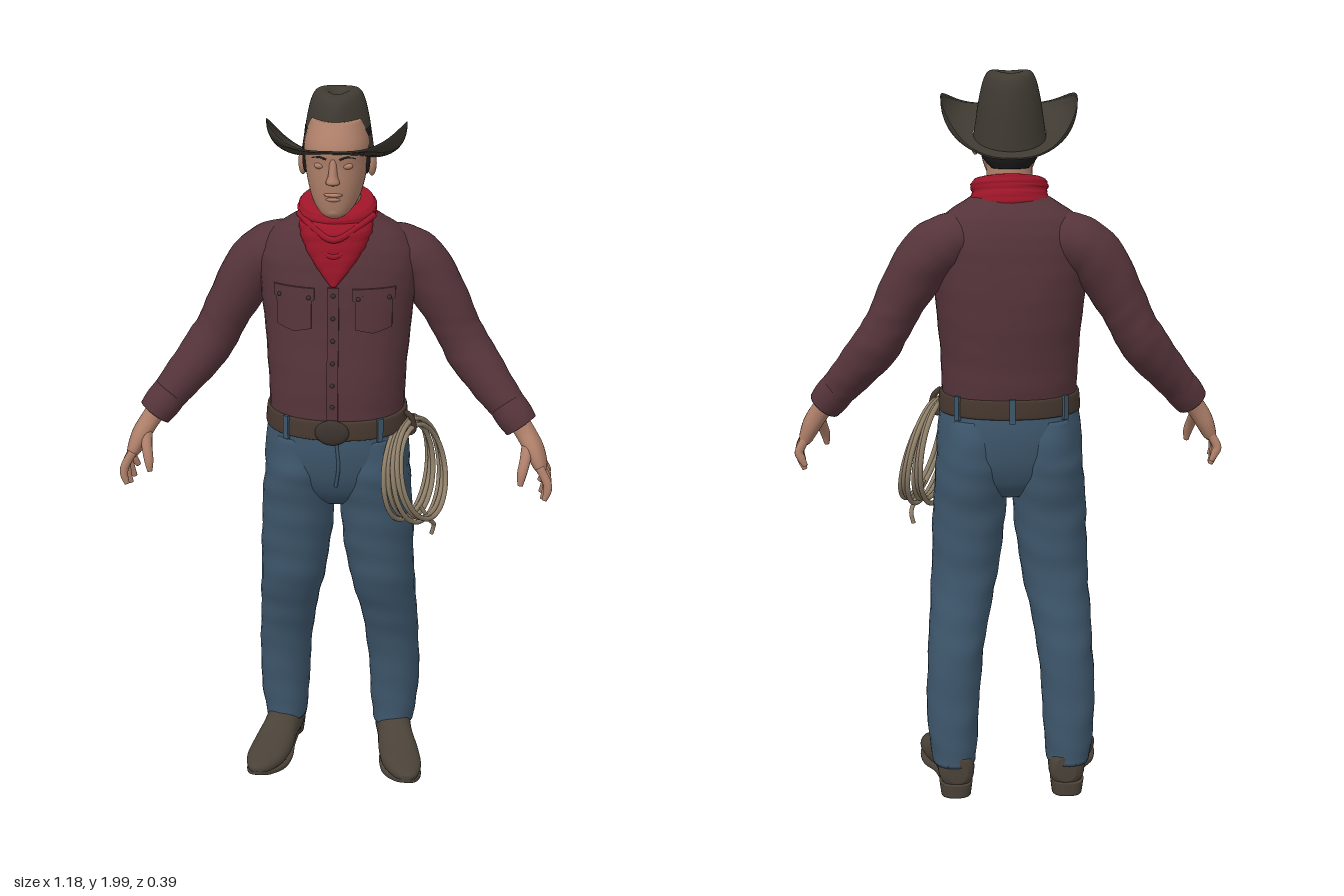
import * as THREE from 'three';

const mat = (name, color, side = THREE.FrontSide) => {
  const m = new THREE.MeshStandardMaterial({ color, side });
  m.name = name;
  return m;
};
const X = new THREE.Vector3(1, 0, 0), Y = new THREE.Vector3(0, 1, 0), Z = new THREE.Vector3(0, 0, 1);

// Smooth surface wrapped around u (nu columns), rising along v (nv rows), ends closed by fans
function grid(nu, nv, fn, caps = true) {
  const pos = [], idx = [];
  for (let i = 0; i <= nv; i++)
    for (let j = 0; j < nu; j++) pos.push(...fn((j / nu) * Math.PI * 2, i / nv));
  for (let i = 0; i < nv; i++)
    for (let j = 0; j < nu; j++) {
      const k = (j + 1) % nu, a = i * nu + j, b = i * nu + k;
      idx.push(a, b, b + nu, a, b + nu, a + nu);
    }
  if (caps) for (const row of [0, nv]) {
    const c = [0, 0, 0], n = pos.length / 3;
    for (let j = 0; j < nu; j++) for (let q = 0; q < 3; q++) c[q] += pos[(row * nu + j) * 3 + q] / nu;
    pos.push(...c);
    for (let j = 0; j < nu; j++) {
      const a = row * nu + j, b = row * nu + ((j + 1) % nu);
      idx.push(n, ...(row ? [a, b] : [b, a]));
    }
  }
  const g = new THREE.BufferGeometry();
  g.setAttribute('position', new THREE.Float32BufferAttribute(pos, 3));
  g.setIndex(idx);
  g.computeVertexNormals();
  return g;
}

// Catmull-Rom blend of section rows
function sample(rows, t) {
  const f = t * (rows.length - 1), i = Math.min(Math.floor(f), rows.length - 2), s = f - i;
  const at = (k) => rows[Math.max(0, Math.min(rows.length - 1, k))];
  return rows[0].map((_, q) => {
    const [a, b, c, d] = [at(i - 1)[q], at(i)[q], at(i + 1)[q], at(i + 2)[q]];
    return b + 0.5 * s * (c - a + s * (2 * a - 5 * b + 4 * c - d + s * (3 * (b - c) + d - a)));
  });
}

// Loft through rows of [x, y, z, radiusU, radiusV]; the axis is fixed or follows the path
function loft(rows, { axis = null, ref = X, seg = 28, p = 2, fold = 0 } = {}) {
  const pw = (c) => Math.sign(c) * Math.abs(c) ** (2 / p);
  return grid(seg, (rows.length - 1) * 6, (a, t) => {
    const r = sample(rows, t), c = new THREE.Vector3(r[0], r[1], r[2]);
    let w = axis;
    if (!w) {
      const e = sample(rows, Math.min(1, t + 0.02)), b = sample(rows, Math.max(0, t - 0.02));
      w = new THREE.Vector3(e[0] - b[0], e[1] - b[1], e[2] - b[2]).normalize();
    }
    const u = ref.clone().addScaledVector(w, -ref.dot(w)).normalize();
    const v = new THREE.Vector3().crossVectors(w, u);
    const k = 1 + fold * Math.sin(t * 55 + Math.sin(a) * 3) * Math.sin(t * 17 + a);
    return c.addScaledVector(u, r[3] * k * pw(Math.cos(a))).addScaledVector(v, r[4] * k * pw(Math.sin(a))).toArray();
  });
}

const tube = (pts, r, closed = false, n = 40) =>
  new THREE.TubeGeometry(new THREE.CatmullRomCurve3(pts.map((q) => new THREE.Vector3(...q)), closed), n, r, 8, closed);

export function createModel() {
  const model = new THREE.Group();
  model.name = 'cowhand';
  const shirt = mat('shirt', 0x55343a), jeans = mat('jeans', 0x3d566b), felt = mat('felt', 0x3f3a32),
    red = mat('bandanna', 0x9c1528), skin = mat('skin', 0xae7f69), rope = mat('rope', 0x8e7f69),
    leather = mat('beltLeather', 0x46382f), boot = mat('bootLeather', 0x4a4238), hair = mat('hair', 0x1d1b1c),
    metal = mat('darkMetal', 0x3c332e);
  const add = (name, geo, m, parent = model) => {
    const mesh = new THREE.Mesh(geo, m);
    mesh.name = name;
    parent.add(mesh);
    return mesh;
  };
  const ball = (name, m, x, y, z, sx, sy, sz) => {
    const b = add(name, new THREE.SphereGeometry(1, 16, 12), m);
    b.position.set(x, y, z);
    b.scale.set(sx, sy, sz);
    return b;
  };

  // Shirt body
  const torso = [[0, 1.08, -0.015, 0.183, 0.142], [0, 1.15, -0.02, 0.184, 0.148], [0, 1.25, -0.026, 0.188, 0.15],
    [0, 1.37, -0.04, 0.198, 0.147], [0, 1.47, -0.045, 0.208, 0.141], [0, 1.55, -0.048, 0.208, 0.13],
    [0, 1.61, -0.05, 0.18, 0.112], [0, 1.65, -0.045, 0.125, 0.09], [0, 1.68, -0.04, 0.075, 0.07]];
  add('shirtBody', loft(torso, { axis: Y, p: 2.25, seg: 40, fold: 0.006 }), shirt);
  const chestZ = (x, y) => {
    let lo = 0, hi = 1;
    for (let i = 0; i < 20; i++) { const m = (lo + hi) / 2; if (sample(torso, m)[1] < y) lo = m; else hi = m; }
    const r = sample(torso, lo);
    return r[2] + r[4] * Math.max(0, 1 - Math.abs(x / r[3]) ** 2.25) ** (1 / 2.25);
  };
  // Thin cloth plate laid on the chest, its lower edge drawn to a point
  const plate = (name, x, y, w, h, point) => {
    const g = new THREE.BoxGeometry(w, h, 0.009, 10, 10, 1), P = g.attributes.position;
    for (let i = 0; i < P.count; i++) {
      const px = P.getX(i), py = P.getY(i), drop = py < 0 ? point * (1 - Math.abs(px) / (w / 2)) * (-py / (h / 2)) : 0;
      const gx = x + px, gy = y + py - drop;
      P.setXYZ(i, gx, gy, chestZ(gx, gy) + P.getZ(i) + 0.002);
    }
    g.computeVertexNormals();
    add(name, g, shirt);
  };
  const button = (x, y) => ball('button', metal, x, y, chestZ(x, y) + 0.007, 0.006, 0.006, 0.004);
  plate('placket', 0, 1.32, 0.03, 0.36, 0);
  for (let i = 0; i < 6; i++) button(0, 1.18 + i * 0.06);

  for (const s of [1, -1]) {
    const side = s > 0 ? 'left' : 'right', at = (rows) => rows.map(([x, ...r]) => [s * x, ...r]);

    // Chest pockets
    plate(side + 'Pocket', s * 0.105, 1.435, 0.095, 0.09, 0.012);
    plate(side + 'PocketFlap', s * 0.105, 1.482, 0.11, 0.03, 0.02);
    for (const d of [-0.04, 0.04]) button(s * 0.105 + d, 1.472);

    // Sleeve and cuff
    add(side + 'Sleeve', loft(at([[0.11, 1.57, -0.07, 0.07, 0.06], [0.165, 1.55, -0.08, 0.086, 0.075],
      [0.225, 1.505, -0.084, 0.082, 0.078], [0.29, 1.4, -0.08, 0.071, 0.068], [0.325, 1.33, -0.078, 0.066, 0.063],
      [0.36, 1.27, -0.068, 0.066, 0.065], [0.415, 1.2, -0.04, 0.06, 0.058], [0.465, 1.14, -0.016, 0.051, 0.05],
      [0.497, 1.1, 0, 0.047, 0.044]]), { ref: Z, fold: 0.02 }), shirt);
    add(side + 'Cuff', loft(at([[0.46, 1.147, -0.018, 0.052, 0.05], [0.483, 1.118, -0.006, 0.053, 0.051],
      [0.503, 1.092, 0.002, 0.05, 0.047]]), { ref: Z }), shirt);

    // Hand: palm, four fingers and thumb
    add(side + 'Palm', loft(at([[0.49, 1.11, 0, 0.034, 0.028], [0.515, 1.075, 0.01, 0.035, 0.027],
      [0.54, 1.035, 0.025, 0.046, 0.026], [0.558, 0.995, 0.036, 0.047, 0.02], [0.563, 0.98, 0.038, 0.036, 0.013]]),
      { ref: Z, p: 2.3 }), skin);
    for (let i = 0; i < 4; i++) {
      const z = 0.074 - i * 0.024, d = [0.012, 0, 0.004, 0.022][i], f = (i - 1.5) * -0.006;
      add(side + 'Finger', loft(at([[0.556, 1.0, z, 0.012, 0.012], [0.577, 0.962, z + f, 0.012, 0.012],
        [0.58 - i * 0.003, 0.93 + d * 0.6, z + f * 1.5, 0.011, 0.011], [0.572 - i * 0.004, 0.9 + d, z + f * 2, 0.007, 0.007]]),
        { ref: Z, seg: 12 }), skin);
    }
    add(side + 'Thumb', loft(at([[0.525, 1.06, 0.025, 0.02, 0.018], [0.517, 1.02, 0.068, 0.016, 0.015],
      [0.509, 0.985, 0.09, 0.013, 0.013], [0.506, 0.955, 0.098, 0.007, 0.007]]), { ref: Z, seg: 12 }), skin);

    // Trouser leg
    add(side + 'Leg', loft(at([[0.16, 0.09, -0.11, 0.06, 0.079], [0.162, 0.17, -0.108, 0.069, 0.08],
      [0.161, 0.28, -0.102, 0.074, 0.081], [0.153, 0.4, -0.088, 0.077, 0.088], [0.142, 0.5, -0.066, 0.083, 0.095],
      [0.128, 0.6, -0.039, 0.091, 0.103], [0.118, 0.7, -0.029, 0.097, 0.111], [0.111, 0.8, -0.025, 0.101, 0.12],
      [0.105, 0.9, -0.024, 0.1, 0.136], [0.1, 0.98, -0.022, 0.095, 0.145], [0.095, 1.07, -0.018, 0.08, 0.13]]),
      { axis: Y, p: 2.15, fold: 0.022 }), jeans);

    // Boot, sole and heel, toes turned out
    add(side + 'Boot', loft(at([[0.152, 0.08, -0.186, 0.028, 0.036], [0.154, 0.076, -0.165, 0.048, 0.052],
      [0.158, 0.08, -0.1, 0.052, 0.062], [0.17, 0.068, -0.035, 0.051, 0.053], [0.185, 0.051, 0.03, 0.058, 0.039],
      [0.199, 0.043, 0.09, 0.056, 0.029], [0.211, 0.04, 0.138, 0.036, 0.019], [0.216, 0.04, 0.16, 0.012, 0.008]]),
      { axis: Z, p: 2.3 }), boot);
    add(side + 'Sole', loft(at([[0.16, 0.026, -0.1, 0.042, 0.01], [0.172, 0.018, -0.03, 0.045, 0.01],
      [0.186, 0.011, 0.03, 0.058, 0.01], [0.199, 0.012, 0.09, 0.056, 0.01], [0.211, 0.022, 0.138, 0.035, 0.009],
      [0.216, 0.031, 0.16, 0.01, 0.006]]), { axis: Z, p: 4 }), boot);
    add(side + 'Heel', loft(at([[0.156, 0, -0.142, 0.042, 0.046], [0.156, 0.04, -0.144, 0.047, 0.046]]),
      { axis: Y, p: 2.6 }), boot);

    // Ear, eyelid, eyebrow and sideburn
    ball(side + 'Ear', skin, s * 0.09, 1.805, -0.02, 0.012, 0.034, 0.02);
    ball(side + 'Eyelid', skin, s * 0.034, 1.826, 0.092, 0.016, 0.009, 0.012);
    add(side + 'Eyebrow', tube([[s * 0.016, 1.845, 0.106], [s * 0.035, 1.85, 0.099], [s * 0.054, 1.844, 0.083]], 0.0035), hair);
    ball(side + 'Sideburn', hair, s * 0.079, 1.825, 0.012, 0.009, 0.04, 0.016);
  }

  // Hips and fly
  add('hips', loft([[0, 0.85, -0.03, 0.07, 0.07], [0, 0.89, -0.025, 0.15, 0.11], [0, 0.95, -0.021, 0.197, 0.137],
    [0, 1.03, -0.018, 0.197, 0.149], [0, 1.1, -0.015, 0.186, 0.145]], { axis: Y, p: 2.2, seg: 40 }), jeans);
  add('fly', tube([[0.012, 1.07, 0.13], [0.016, 1.0, 0.127], [0.008, 0.94, 0.115]], 0.005), jeans);

  // Belt, buckle and belt loops
  add('belt', loft([[0, 1.083, -0.015, 0.19, 0.151], [0, 1.09, -0.015, 0.194, 0.155], [0, 1.13, -0.016, 0.191, 0.154],
    [0, 1.137, -0.016, 0.187, 0.15]], { axis: Y, p: 2.2, seg: 48 }), leather);
  ball('buckle', metal, 0, 1.108, 0.139, 0.046, 0.036, 0.012);
  for (const a of [0.9, 2.24, 3.9, 4.71, 5.52]) {
    const l = add('beltLoop', new THREE.BoxGeometry(0.016, 0.066, 0.009), jeans);
    const c = Math.cos(a), n = Math.sin(a), e = (v) => Math.sign(v) * Math.abs(v) ** (2 / 2.2);
    l.position.set(0.194 * e(c), 1.108, -0.016 + 0.156 * e(n));
    l.rotation.y = Math.atan2(c / 0.194, n / 0.155);
  }

  // Neck and head
  add('neck', loft([[0, 1.58, -0.05, 0.068, 0.068], [0, 1.67, -0.035, 0.062, 0.065], [0, 1.78, -0.02, 0.06, 0.07]],
    { axis: Y }), skin);
  add('head', loft([[0, 1.684, 0.062, 0.018, 0.022], [0, 1.696, 0.05, 0.038, 0.047], [0, 1.725, 0.023, 0.06, 0.08],
    [0, 1.77, 0.005, 0.074, 0.102], [0, 1.82, -0.002, 0.081, 0.109], [0, 1.87, -0.006, 0.083, 0.113],
    [0, 1.93, -0.02, 0.066, 0.09]], { axis: Y, p: 2.2, seg: 36 }), skin);
  add('nose', loft([[0, 1.778, 0.105, 0.01, 0.008], [0, 1.786, 0.111, 0.018, 0.017], [0, 1.805, 0.107, 0.012, 0.016],
    [0, 1.845, 0.1, 0.009, 0.01]], { axis: Y, seg: 16 }), skin);
  ball('upperLip', skin, 0, 1.752, 0.1, 0.025, 0.006, 0.012);
  ball('lowerLip', skin, 0, 1.74, 0.097, 0.021, 0.007, 0.012);
  ball('chin', skin, 0, 1.706, 0.083, 0.024, 0.018, 0.018);
  add('hair', loft([[0, 1.742, -0.067, 0.05, 0.034], [0, 1.77, -0.06, 0.073, 0.054], [0, 1.81, -0.048, 0.084, 0.068],
    [0, 1.85, -0.035, 0.088, 0.082], [0, 1.9, -0.03, 0.085, 0.085]], { axis: Y }), hair);

  // Hat brim: dips to the back and curls up at the sides
  const tilt = (z) => 1.835 + 0.286 * z;
  add('hatBrim', grid(64, 24, (a, t) => {
    const k = t * 2, s = k < 1 ? k : 2 - k, under = k < 1 ? -0.009 * (1 - s * 0.5) : 0;
    const c = Math.cos(a), z = -Math.sin(a) * (0.108 + 0.086 * s) - 0.04 * (1 - s);
    return [c * (0.094 + 0.087 * Math.sin(s * 1.57)), tilt(z) + 0.086 * s ** 2 * Math.abs(c) ** 3.2 + under, z];
  }, false), felt);
  // Hat crown: pinched to the front, creased on top
  const crown = [[1, 0], [0.98, 0.3], [0.95, 0.6], [0.87, 0.86], [0.72, 0.99], [0.45, 1.0], [0.2, 0.93], [0.02, 0.9]];
  add('hatCrown', grid(48, 42, (a, t) => {
    const [r, h] = sample(crown, t), c = Math.cos(a), n = -Math.sin(a);
    const z = -0.04 + 0.111 * r * n, pinch = 1 - h * (0.2 + 0.28 * Math.max(0, n) ** 1.5);
    const top = 1.995 - 1.5 * (z + 0.04) ** 2;
    return [0.096 * r * c * pinch, tilt(z) - 0.004 + (top - tilt(z)) * h, z];
  }), felt);

  // Bandanna: neck wrap, hanging point and folds
  const wrap = loft([[0, 1.615, -0.03, 0.112, 0.1], [0, 1.645, -0.028, 0.112, 0.1], [0, 1.672, -0.025, 0.1, 0.093],
    [0, 1.69, -0.022, 0.104, 0.092], [0, 1.708, -0.02, 0.094, 0.085], [0, 1.712, -0.02, 0.07, 0.07]], { axis: Y, fold: 0.02 });
  const W = wrap.attributes.position;
  for (let i = 0; i < W.count; i++) W.setY(i, W.getY(i) - 0.28 * (W.getZ(i) + 0.03));
  wrap.computeVertexNormals();
  add('bandannaWrap', wrap, red);
  add('bandannaPoint', loft([[0, 1.505, 0.096, 0.008, 0.008], [0, 1.55, 0.077, 0.045, 0.026], [0, 1.6, 0.045, 0.08, 0.052],
    [0, 1.65, 0.01, 0.098, 0.077], [0, 1.67, 0, 0.08, 0.06]], { axis: Y, p: 2.2, fold: 0.03 }), red);
  for (const [w, y, d] of [[0.098, 1.675, 0.045], [0.094, 1.645, 0.06], [0.075, 1.61, 0.055]])
    add('bandannaFold', tube([[-w, y, 0.01], [-w * 0.55, y - d * 0.5, 0.066], [0, y - d, 0.094],
      [w * 0.55, y - d * 0.5, 0.066], [w, y, 0.01]], 0.009), red);

  // Coiled rope hanging at the left hip
  const coil = new THREE.Group();
  coil.name = 'ropeCoil';
  model.add(coil);
  for (let i = 0; i < 6; i++) {
    const o = (i - 2.5) * 0.009, k = 1 - (i % 3) * 0.05, pts = [];
    for (let j = 0; j < 16; j++) {
      const a = (j / 16) * Math.PI * 2, c = Math.cos(a) * k, n = Math.sin(a) * k;
      pts.push([0.217 - 0.052 * c - 0.024 * n + o * (1.1 - 0.6 * n), 0.955 + 0.145 * n + 0.006 * Math.sin(i * 2),
        0.015 + 0.138 * c + o * 0.4]);
    }
    add('ropeLoop', tube(pts, 0.007, true, 64), rope, coil);
  }
  add('ropeTail', tube([[0.235, 0.86, 0.05], [0.26, 0.81, 0.03], [0.272, 0.78, 0.0], [0.266, 0.75, -0.005]], 0.006), rope, coil);
  add('ropeStrap', tube([[0.185, 1.13, 0.02], [0.206, 1.11, 0.02], [0.21, 1.07, 0.016], [0.19, 1.06, 0.012]], 0.008), leather, coil);

  return model;
}
